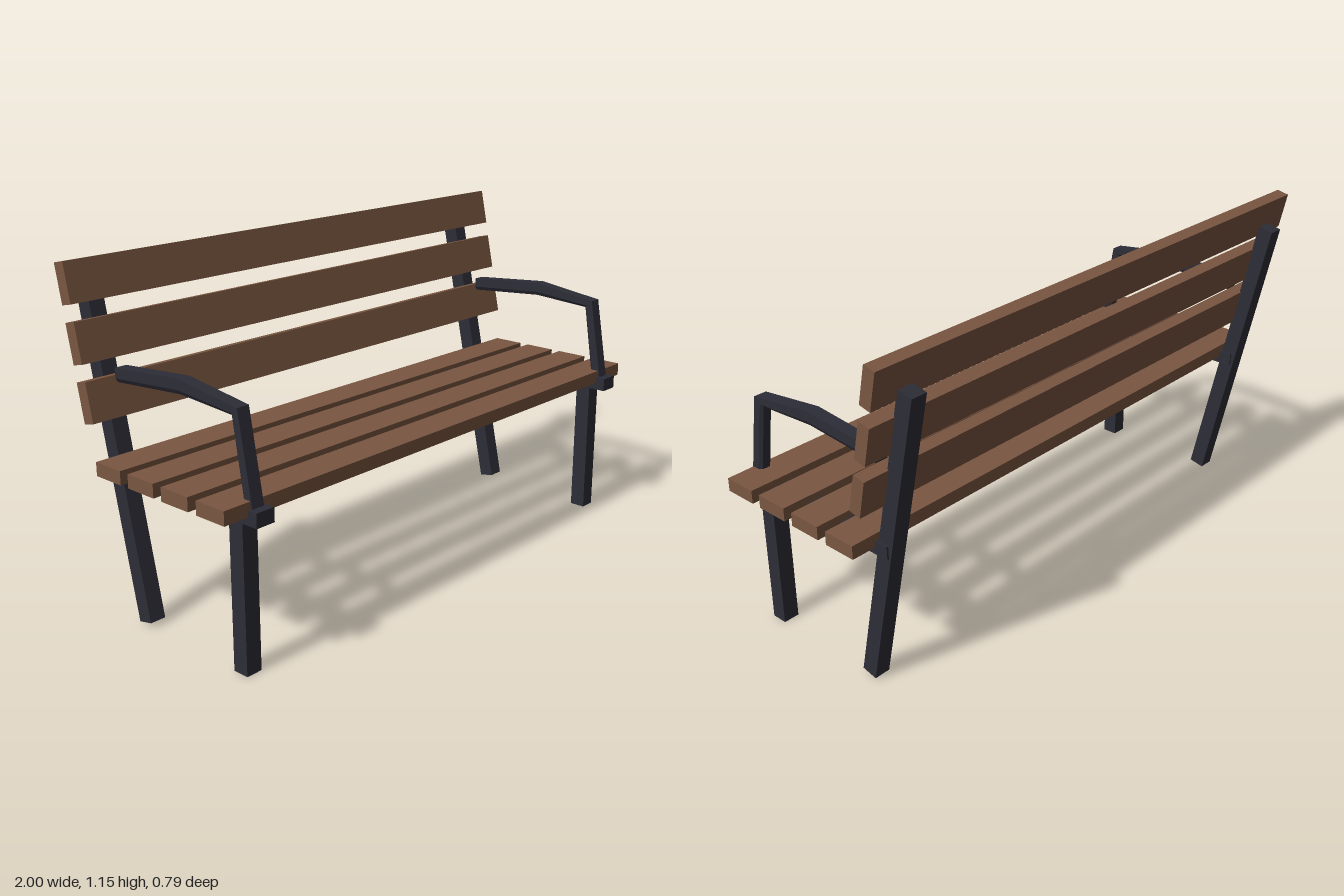
import * as THREE from 'three';

const TILT = -0.212; // backward lean of the rear posts and back slats

// Sweeps a box-like section (lower edges chamfered) along pairs of outer / inner points [z, y]
function sweepArm(stations) {
  const section = [[0.022, 1], [-0.022, 1], [-0.022, 0.28], [-0.014, 0], [0.014, 0], [0.022, 0.28]];
  const n = section.length, pos = [], idx = [];
  for (const [oz, oy, iz, iy] of stations) {
    for (const [x, v] of section) pos.push(x, iy + (oy - iy) * v, iz + (oz - iz) * v);
  }
  for (let k = 0; k < stations.length - 1; k++) {
    for (let i = 0; i < n; i++) {
      const a = k * n + i, b = k * n + (i + 1) % n;
      idx.push(a, a + n, b, b, a + n, b + n);
    }
  }
  const end = (stations.length - 1) * n;
  for (let i = 1; i < n - 1; i++) {
    idx.push(0, i, i + 1, end, end + i + 1, end + i);
  }
  const indexed = new THREE.BufferGeometry();
  indexed.setAttribute('position', new THREE.Float32BufferAttribute(pos, 3));
  indexed.setIndex(idx);
  const geometry = indexed.toNonIndexed();
  geometry.computeVertexNormals();
  return geometry;
}

export function createModel() {
  const wood = new THREE.MeshStandardMaterial({ color: 0x7a5641 });
  wood.name = 'brown wood';
  const iron = new THREE.MeshStandardMaterial({ color: 0x2d2d37 });
  iron.name = 'dark iron';

  const bench = new THREE.Group();
  bench.name = 'bench';

  function add(parent, name, geometry, material, x, y, z, tilt = 0) {
    const mesh = new THREE.Mesh(geometry, material);
    mesh.name = name;
    mesh.position.set(x, y, z);
    mesh.rotation.x = tilt;
    parent.add(mesh);
  }

  // Seat slats
  const seatSlat = new THREE.BoxGeometry(2, 0.045, 0.117);
  for (let i = 0; i < 4; i++) {
    add(bench, 'seatSlat' + (i + 1), seatSlat, wood, 0, 0.532, 0.3 - i * 0.153);
  }

  // Back slats, in front of the leaning posts
  const backSlat = new THREE.BoxGeometry(2, 0.128, 0.044);
  for (let i = 0; i < 3; i++) {
    add(bench, 'backSlat' + (i + 1), backSlat, wood, 0, 0.731 + i * 0.1765, -0.253 - i * 0.036, TILT);
  }

  // Iron end frames
  const frontLeg = new THREE.BoxGeometry(0.056, 0.5, 0.056);
  const rearPost = new THREE.BoxGeometry(0.056, 1.059, 0.056);
  const seatRail = new THREE.BoxGeometry(0.068, 0.046, 0.66);
  const armrest = sweepArm([
    [0.37, 0.505, 0.33, 0.505],
    [0.315, 0.815, 0.284, 0.787],
    [0.064, 0.849, 0.064, 0.801],
    [-0.231, 0.825, -0.229, 0.779],
  ]);
  for (const [name, side] of [['left', 1], ['right', -1]]) {
    const frame = new THREE.Group();
    frame.name = name + 'EndFrame';
    frame.position.x = side * 0.88;
    add(frame, 'frontLeg', frontLeg, iron, 0, 0.25, 0.3);
    add(frame, 'rearPost', rearPost, iron, 0, 0.53, -0.255, TILT);
    add(frame, 'seatRail', seatRail, iron, 0, 0.508, 0.064);
    add(frame, 'armrest', armrest, iron, 0, 0, 0);
    bench.add(frame);
  }
  return bench;
}
